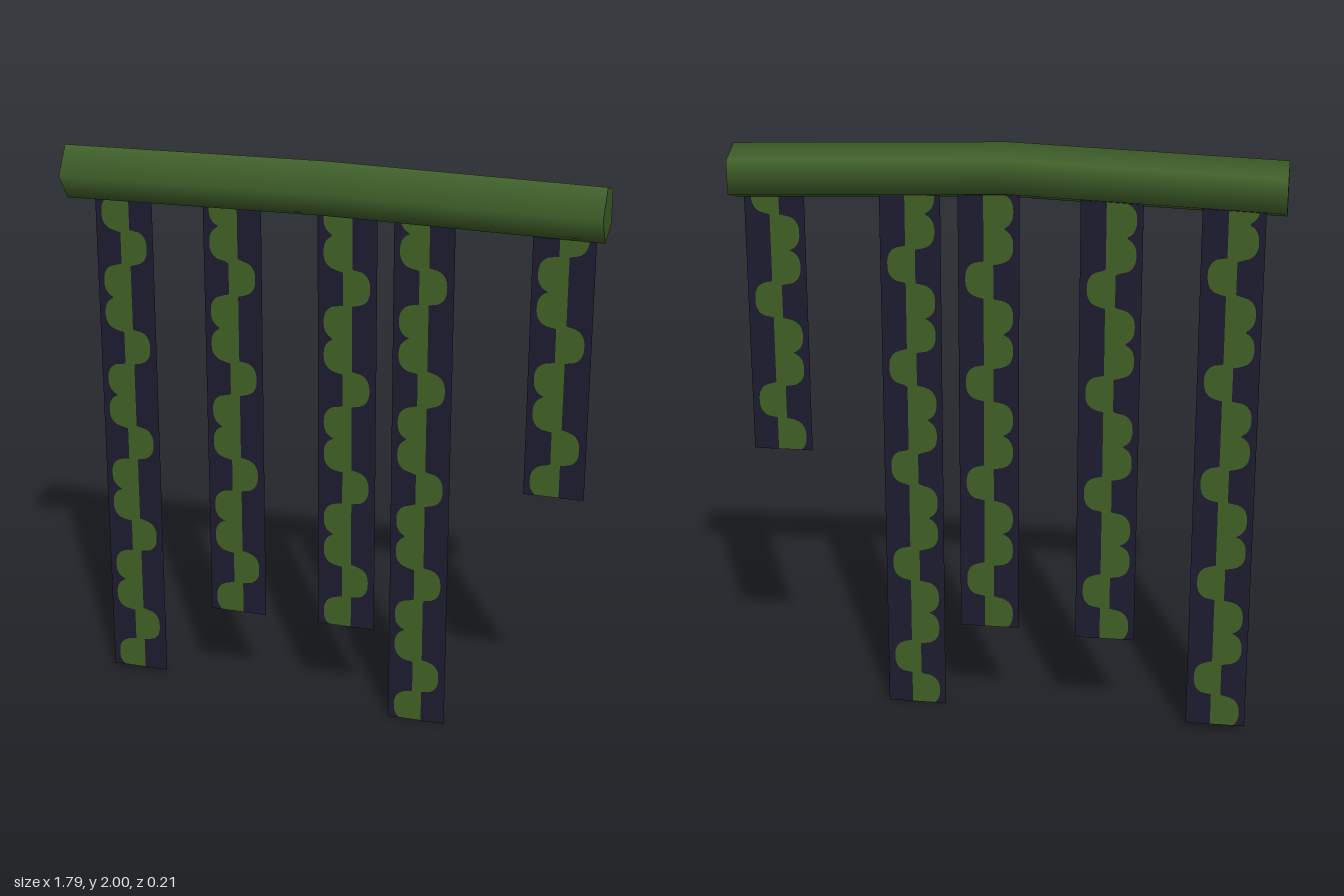
import * as THREE from 'three';

const barGreen = new THREE.MeshStandardMaterial({ name: 'barGreen', color: 0x40602a });
const leafGreen = new THREE.MeshStandardMaterial({ name: 'leafGreen', color: 0x406026, side: THREE.DoubleSide });
const darkNavy = new THREE.MeshStandardMaterial({ name: 'darkNavy', color: 0x1c1c2f, side: THREE.DoubleSide });

const WIDTH = 0.2, TILE = 0.355, TOP = 1.85;

// Blunt round leaf bulge, 0 to 1, around height c
const lobe = (v, c, h = 0.061) => Math.max(0, 1 - Math.abs((v - c) / h) ** 2.5) ** 0.4;

// Edges of the leafy stem: two leaves on one side, one on the other, per tile
const leafLeft = (y) => {
  const v = y % TILE;
  return 0.085 - 0.065 * Math.max(lobe(v, 0.05), lobe(v, 0.29), lobe(v, 0.05 + TILE));
};
const leafRight = (y) => 0.117 + 0.06 * lobe(y % TILE, 0.175);

// Flat strip between two edge curves
function ribbon(name, left, right, length, material) {
  const rows = Math.ceil(length / 0.006);
  const positions = [], normals = [], index = [];
  for (let i = 0; i <= rows; i++) {
    const y = (length * i) / rows;
    positions.push(left(y), y, 0, right(y), y, 0);
    normals.push(0, 0, 1, 0, 0, 1);
    if (i < rows) {
      const a = i * 2;
      index.push(a, a + 1, a + 3, a, a + 3, a + 2);
    }
  }
  const geometry = new THREE.BufferGeometry();
  geometry.setAttribute('position', new THREE.Float32BufferAttribute(positions, 3));
  geometry.setAttribute('normal', new THREE.Float32BufferAttribute(normals, 3));
  geometry.setIndex(index);
  const mesh = new THREE.Mesh(geometry, material);
  mesh.name = name;
  return mesh;
}

// Hanging strip with a leafy stem between two dark borders
function hangingStrip(x, bottom, z) {
  const strip = new THREE.Group();
  strip.name = 'hangingStrip';
  const length = TOP - bottom;
  strip.add(
    ribbon('rightBorder', () => 0, leafLeft, length, darkNavy),
    ribbon('leafyStem', leafLeft, leafRight, length, leafGreen),
    ribbon('leftBorder', leafRight, () => WIDTH, length, darkNavy),
  );
  strip.position.set(x, bottom, z);
  return strip;
}

// Five-sided bar, bent upward and forward at the middle
function bar() {
  const half = 0.893, radius = 0.0945;
  const geometry = new THREE.CylinderGeometry(radius, radius, half * 2, 5, 2);
  geometry.rotateZ(Math.PI / 2);
  const p = geometry.attributes.position;
  for (let i = 0; i < p.count; i++) {
    const t = Math.abs(p.getX(i)) / half;
    p.setY(i, p.getY(i) + 1.91 - 0.023 * t);
    p.setZ(i, p.getZ(i) + 0.006 - 0.035 * t);
  }
  const mesh = new THREE.Mesh(geometry, barGreen);
  mesh.name = 'bar';
  return mesh;
}

export function createModel() {
  const model = new THREE.Group();
  model.name = 'hangingVines';
  model.add(bar());
  // Right edge and lower end of each strip, every one a step further back
  const strips = [[0.667, 0.92], [0.215, 0], [-0.045, 0.32], [-0.443, 0.31], [-0.829, 0.02]];
  strips.forEach(([x, bottom], i) => model.add(hangingStrip(x, bottom, -0.02 * i)));
  return model;
}
